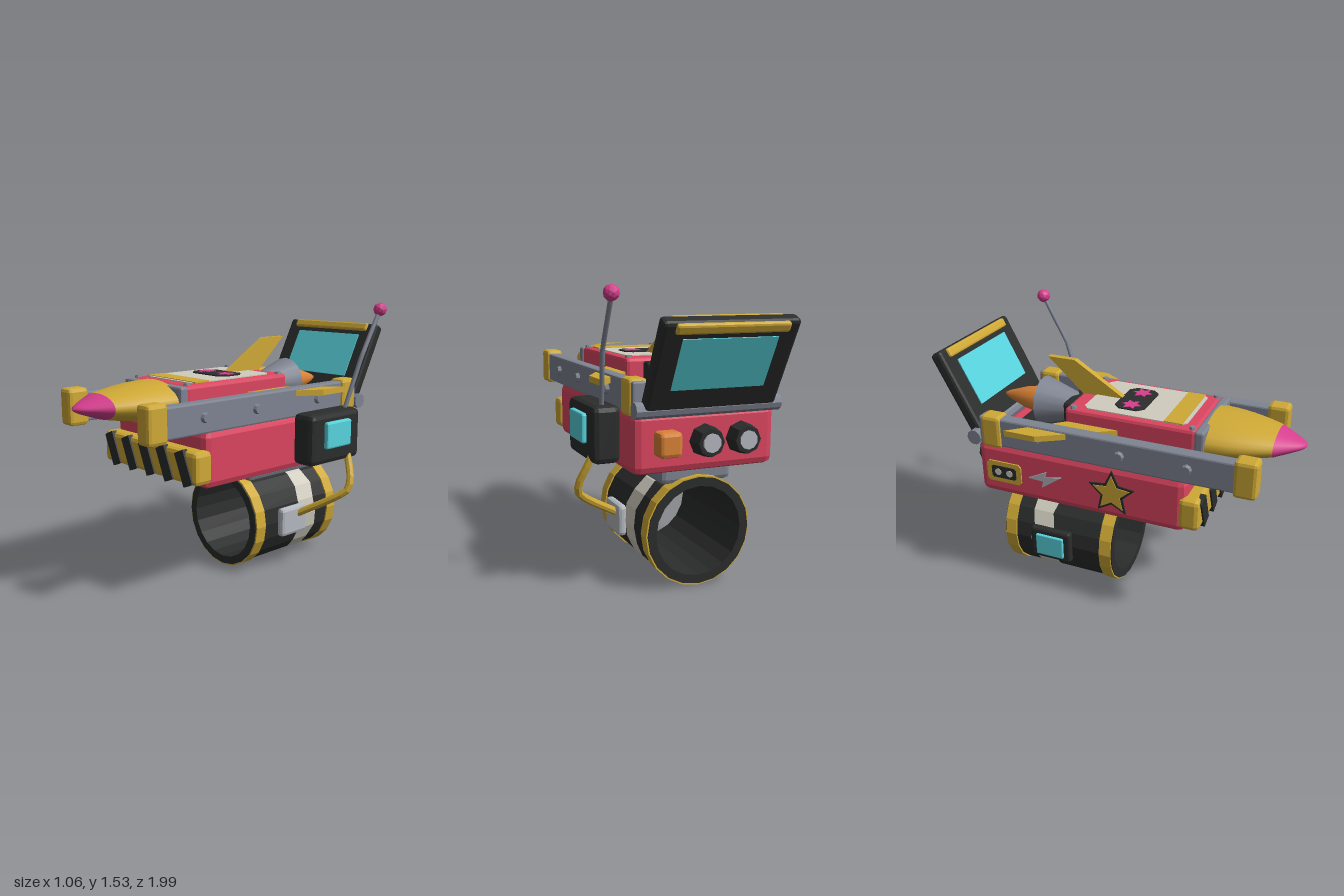
import * as THREE from 'three';
import { RoundedBoxGeometry } from 'three/addons/geometries/RoundedBoxGeometry.js';

const paint = (name, color) => Object.assign(new THREE.MeshStandardMaterial({ color }), { name });
const CX = -0.06; // centre line of the gadget
const HALF = Math.PI / 2;

export function createModel() {
  const model = new THREE.Group();
  const red = paint('red', 0xdc4560), black = paint('black', 0x2b2c2c), yellow = paint('yellow', 0xcfa936);
  const grey = paint('grey', 0x7f8492), pale = paint('pale grey', 0xb4b8c0), cream = paint('cream', 0xd0ccbe);
  const cyan = paint('cyan', 0x58d4de), pink = paint('magenta', 0xd63f8e), orange = paint('orange', 0xd98236);
  const horn = paint('horn grey', 0x7f8492);
  horn.side = THREE.DoubleSide;

  const flat = (g) => {
    const f = g.index ? g.toNonIndexed() : g;
    f.computeVertexNormals();
    return f;
  };
  const add = (name, geo, mat, x = 0, y = 0, z = 0, parent = model) => {
    const m = new THREE.Mesh(geo, mat);
    m.name = name;
    m.position.set(x, y, z);
    parent.add(m);
    return m;
  };
  // chamfered box given by its limits
  const box = (name, mat, x0, x1, y0, y1, z0, z1, r = 0.015, parent = model) =>
    add(name, flat(new RoundedBoxGeometry(x1 - x0, y1 - y0, z1 - z0, 1, r)), mat,
      (x0 + x1) / 2, (y0 + y1) / 2, (z0 + z1) / 2, parent);
  // flat plate cut from an outline, centred on its thickness
  const plate = (pts, depth) => new THREE.ExtrudeGeometry(
    new THREE.Shape(pts.map((p) => new THREE.Vector2(p[0], p[1]))), { depth, bevelEnabled: false }
  ).translate(0, 0, -depth / 2);
  const lying = (pts, depth) => plate(pts, depth).rotateX(HALF); // outline in x, z
  const upright = (pts, depth) => plate(pts, depth).rotateY(-HALF); // outline in z, y
  const star = (n, R, r) => Array.from({ length: 2 * n }, (_, i) => {
    const a = HALF + i * Math.PI / n, d = i % 2 ? r : R;
    return [Math.cos(a) * d, Math.sin(a) * d];
  });
  const octagon = (w, h, c) => [[-w + c, -h], [w - c, -h], [w, -h + c], [w, h - c],
    [w - c, h], [-w + c, h], [-w, h - c], [-w, -h + c]];
  const v3 = (pts) => pts.map((p) => new THREE.Vector3(...p));

  // Wrist cuff: open tube along z, end bands and a torn cream wrap
  const ring = (len, inner, outer) => flat(new THREE.LatheGeometry(
    [[inner, -len / 2], [outer, -len / 2], [outer, len / 2], [inner, len / 2], [inner, -len / 2]]
      .map((p) => new THREE.Vector2(...p)), 20).rotateX(HALF));
  add('cuff', ring(0.68, 0.236, 0.282), black, CX, 0.298, -0.315);
  for (const z of [-0.015, -0.615]) add('cuffBand', ring(0.07, 0.27, 0.29), yellow, CX, 0.298, z);
  const wrap = new THREE.CylinderGeometry(0.2845, 0.2845, 0.13, 20, 1, true);
  const wp = wrap.attributes.position;
  for (let i = 0; i < wp.count; i++) {
    const k = i % 21 % 20;
    wp.setY(i, wp.getY(i) + 0.012 * Math.sin(k * 2.3 + (i > 20 ? 1 : 0)));
  }
  add('cuffWrap', flat(wrap.rotateX(HALF)), cream, CX, 0.298, -0.41);
  box('cuffSocket', pale, 0.215, 0.265, 0.212, 0.382, -0.36, -0.15, 0.02);
  box('cuffDisplayFrame', black, -0.372, -0.325, 0.2, 0.395, -0.47, -0.22);
  box('cuffDisplay', cyan, -0.387, -0.365, 0.23, 0.362, -0.43, -0.26, 0.006);

  // Main body
  box('neck', grey, CX - 0.195, CX + 0.195, 0.545, 0.64, -0.62, -0.01, 0.025);
  box('body', red, CX - 0.385, CX + 0.385, 0.63, 0.94, -0.72, 0.48, 0.04);
  box('deck', black, CX - 0.32, CX + 0.32, 0.92, 0.955, -0.62, 0.415, 0.01);

  // Striped bumper
  box('bumper', yellow, CX - 0.4, CX + 0.4, 0.665, 0.84, 0.445, 0.558, 0.025);
  for (let i = -2; i <= 2; i++) {
    add('bumperStripe', new THREE.BoxGeometry(0.072, 0.182, 0.03), black, CX + i * 0.155, 0.75, 0.552)
      .rotation.z = 0.41;
  }

  // Side rails with caps and bolts
  for (const s of [-1, 1]) {
    const x = CX + s * 0.345;
    box('rail', grey, x - 0.036, x + 0.036, 0.925, 1.088, -0.7, 0.8, 0.01);
    box('railFrontCap', yellow, x - 0.05, x + 0.05, 0.908, 1.11, 0.715, 0.835, 0.02);
    box('railRearCap', yellow, x - 0.05, x + 0.05, 0.915, 1.1, -0.685, -0.565, 0.02);
    for (const z of [0.48, 0.12, -0.36]) {
      add('railBolt', flat(new THREE.CylinderGeometry(0.022, 0.03, 0.025, 8).rotateZ(-s * HALF)), grey,
        x + s * 0.043, 1.01, z);
    }
  }

  // Hinged lid with a display on both faces
  add('hinge', flat(new THREE.CylinderGeometry(0.042, 0.042, 0.78, 10).rotateZ(HALF)), grey, CX, 0.955, -0.735);
  const lid = new THREE.Group();
  lid.name = 'lid';
  lid.position.set(CX, 1.175, -0.85);
  lid.rotation.x = -0.48;
  model.add(lid);
  box('lidPanel', black, -0.35, 0.35, -0.245, 0.242, -0.035, 0.035, 0.018, lid);
  box('lidBar', yellow, -0.29, 0.29, 0.185, 0.237, -0.05, 0.05, 0.012, lid);
  for (const s of [-1, 1]) {
    add('lidDisplay', new THREE.BoxGeometry(0.49, 0.275, 0.008), cyan, 0, 0.022, s * 0.036, lid);
  }

  // Rocket: boxy hull, squashed nose, horn and flame
  box('rocketHull', red, CX - 0.238, CX + 0.238, 0.96, 1.15, -0.255, 0.475, 0.02);
  box('rocketCollar', grey, CX - 0.244, CX + 0.244, 0.957, 1.147, 0.468, 0.52, 0.012);
  const nosePart = (pts) => new THREE.LatheGeometry(new THREE.SplineCurve(
    pts.map((p) => new THREE.Vector2(...p))).getPoints(8), 24).rotateX(HALF).scale(1, 0.44, 1);
  add('noseCone', nosePart([[0.235, 0.5], [0.222, 0.62], [0.19, 0.74], [0.148, 0.845]]), yellow, CX, 1.06, 0);
  add('noseTip', nosePart([[0.148, 0.845], [0.085, 0.925], [0.04, 0.975], [0, 0.995]]), pink, CX, 1.06, 0);
  box('rocketTailBlock', black, CX - 0.14, CX + 0.14, 0.975, 1.13, -0.315, -0.24, 0.015);
  add('horn', new THREE.CylinderGeometry(0.07, 0.14, 0.22, 16, 1, true).rotateX(HALF), horn, CX, 1.06, -0.39);
  add('flame', new THREE.LatheGeometry([[0, -0.765], [0.025, -0.72], [0.06, -0.62], [0.083, -0.5], [0.07, -0.38], [0, -0.36]]
    .map((p) => new THREE.Vector2(...p)), 12).rotateX(HALF), orange, CX, 1.06, 0);

  // Rocket fins
  add('topFin', upright([[0.02, 1.14], [-0.295, 1.335], [-0.455, 1.335], [-0.24, 1.14]], 0.034), yellow, CX, 0, 0);
  for (const s of [-1, 1]) {
    add('sideFin', lying([[s * 0.22, 0.08], [s * 0.465, -0.315], [s * 0.465, -0.495], [s * 0.22, -0.22]], 0.032),
      yellow, CX, 1.06, 0);
  }

  // Face panel on the hull
  add('label', lying(octagon(0.2, 0.288, 0.03), 0.008), cream, CX, 1.151, 0.122);
  add('labelStripe', new THREE.BoxGeometry(0.4, 0.008, 0.1), yellow, CX, 1.154, 0.34);
  add('eyePlate', lying(octagon(0.14, 0.085, 0.035), 0.009), black, CX, 1.156, 0.065);
  for (const s of [-1, 1]) {
    add('eye', lying(star(6, 0.056, 0.03), 0.008), pink, CX + s * 0.082, 1.16, 0.065);
    for (const z of [-0.212, 0.45]) {
      add('hullBolt', flat(new THREE.CylinderGeometry(0.016, 0.02, 0.014, 8)), grey, CX + s * 0.21, 1.154, z);
    }
  }

  // Side unit with display, antenna and cable
  box('sideUnit', black, 0.325, 0.47, 0.665, 0.955, -0.565, -0.155, 0.03);
  box('sideDisplay', cyan, 0.455, 0.495, 0.757, 0.907, -0.46, -0.255, 0.01);
  const mast = new THREE.CurvePath();
  const mp = v3([[0.405, 0.94, -0.5], [0.433, 1.23, -0.6], [0.44, 1.49, -0.745]]);
  mast.add(new THREE.LineCurve3(mp[0], mp[1]));
  mast.add(new THREE.LineCurve3(mp[1], mp[2]));
  add('antenna', new THREE.TubeGeometry(mast, 12, 0.013, 8), grey);
  add('antennaBall', flat(new THREE.IcosahedronGeometry(0.039, 1)), pink, 0.442, 1.5, -0.75);
  add('cable', flat(new THREE.TubeGeometry(new THREE.CatmullRomCurve3(v3([[0.44, 0.72, -0.485], [0.475, 0.64, -0.47],
    [0.508, 0.555, -0.445], [0.505, 0.5, -0.425], [0.455, 0.455, -0.39], [0.25, 0.33, -0.29]])), 14, 0.021, 8)), yellow);

  // Rear controls
  box('rearLamp', orange, 0.1, 0.22, 0.725, 0.85, -0.8, -0.7, 0.02);
  for (const x of [-0.05, -0.25]) {
    add('rearKnob', flat(new THREE.CylinderGeometry(0.085, 0.07, 0.09, 8).rotateX(HALF)), black, x, 0.785, -0.755);
    add('rearKnobFace', flat(new THREE.CylinderGeometry(0.048, 0.048, 0.012, 10).rotateX(HALF)), pale, x, 0.785, -0.802);
  }

  // Badges on the right-hand flank
  const flank = CX - 0.385;
  add('starRim', upright(star(5, 0.135, 0.065), 0.009), black, flank - 0.003, 0.785, 0.08);
  add('starBadge', upright(star(5, 0.108, 0.05), 0.009), yellow, flank - 0.007, 0.785, 0.08);
  add('boltBadge', upright([[-0.1, -0.01], [0.01, 0.045], [0, 0.01], [0.1, 0.03], [-0.02, -0.055], [-0.01, -0.015]], 0.009),
    pale, flank - 0.004, 0.785, -0.31);
  add('tapeBadge', upright(octagon(0.105, 0.062, 0.015), 0.009), yellow, flank - 0.004, 0.775, -0.56);
  add('tapeWindow', upright(octagon(0.075, 0.036, 0.01), 0.009), black, flank - 0.007, 0.775, -0.56);
  for (const s of [-1, 1]) {
    add('tapeReel', new THREE.CylinderGeometry(0.02, 0.02, 0.009, 10).rotateZ(HALF), cream,
      flank - 0.01, 0.775, -0.56 + s * 0.035);
  }
  return model;
}
